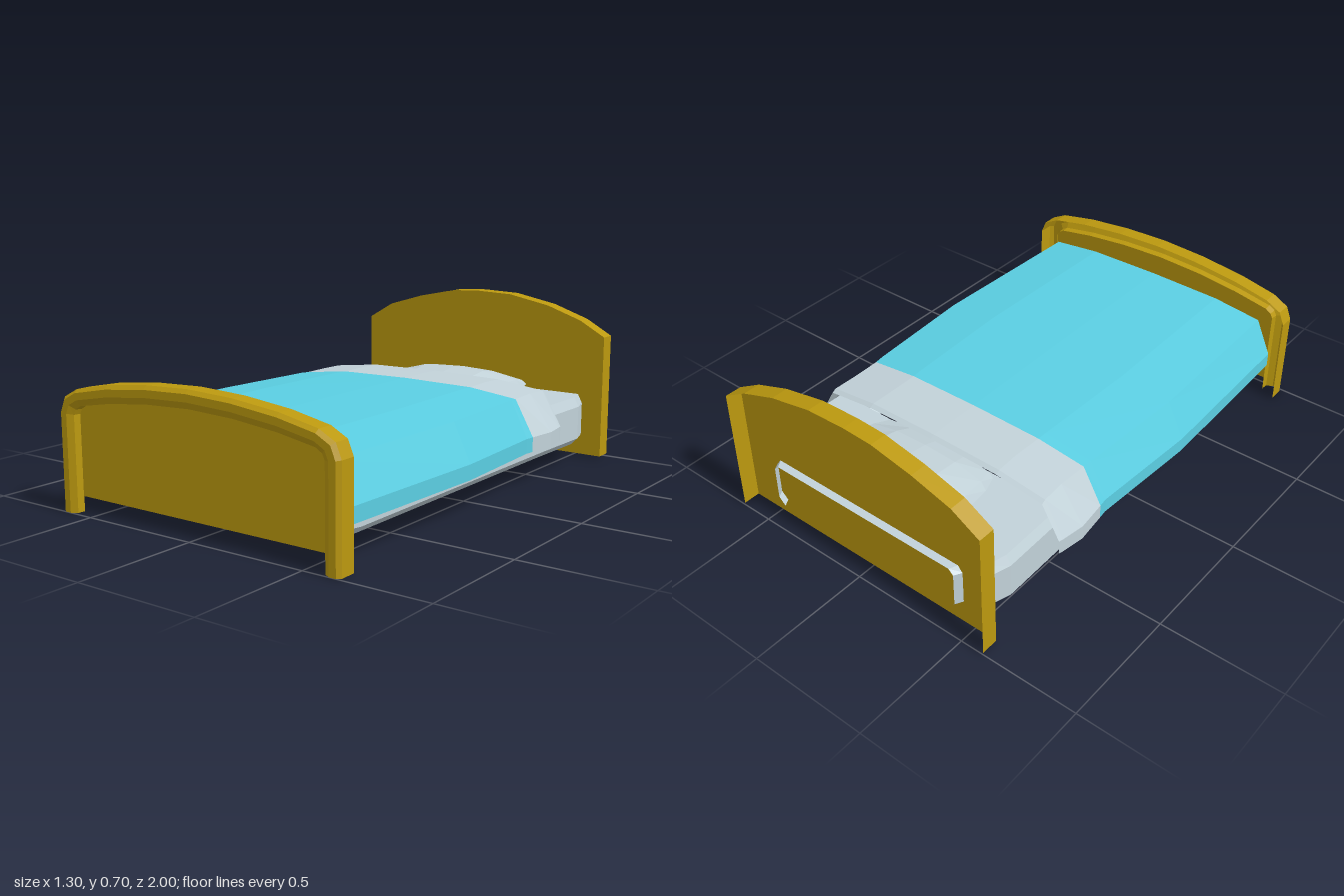
import * as THREE from 'three';

const make = (name, color) => {
  const m = new THREE.MeshStandardMaterial({ color, flatShading: true, side: THREE.DoubleSide });
  m.name = name;
  return m;
};

// Skin between rows of [x, y, z] points
function loft(rows) {
  const n = rows[0].length, index = [];
  for (let i = 0; i < rows.length - 1; i++) {
    for (let j = 0; j < n - 1; j++) {
      const a = i * n + j, b = a + 1, d = a + n, c = d + 1;
      index.push(a, b, c, a, c, d);
    }
  }
  const g = new THREE.BufferGeometry();
  g.setAttribute('position', new THREE.Float32BufferAttribute(rows.flat(2), 3));
  g.setIndex(index);
  g.computeVertexNormals();
  return g;
}

// Mirror a half section [x, y] (outer edge to centre) into a full row at z
function mirrorRow(half, z) {
  const left = half.map(([x, y]) => [-x, y, z]);
  const right = half.filter(([x]) => x > 0).reverse().map(([x, y]) => [x, y, z]);
  return [...left, ...right];
}

function panel(points, z) {
  const shape = new THREE.Shape(points.map(([x, y]) => new THREE.Vector2(x, y)));
  return new THREE.ShapeGeometry(shape).translate(0, 0, z);
}

export function createModel() {
  const wood = make('golden wood', 0xbc990f);
  const teal = make('turquoise cloth', 0x5bcfe3);
  const linen = make('pale linen', 0xc2d2d9);
  const bed = new THREE.Group();
  bed.name = 'bed';
  const add = (name, geometry, material, parent = bed) => {
    const mesh = new THREE.Mesh(geometry, material);
    mesh.name = name;
    parent.add(mesh);
    return mesh;
  };

  // Headboard: arched panel with a rim, open at the back
  const headboard = new THREE.Group();
  headboard.name = 'headboard';
  bed.add(headboard);
  const arch = [[-0.6, 0.01], [-0.6, 0.54], [-0.48, 0.61], [-0.31, 0.66], [-0.13, 0.697], [0, 0.703],
    [0.17, 0.697], [0.36, 0.66], [0.52, 0.605], [0.635, 0.54], [0.635, 0.01]];
  add('headboardPanel', panel(arch, -0.93), wood, headboard);
  add('headboardRim', loft([-0.93, -1].map(z => arch.map(([x, y]) => [x, y, z]))), wood, headboard);

  // Footboard: arched channel frame, open at the back, around a recessed panel
  const footboard = new THREE.Group();
  footboard.name = 'footboard';
  bed.add(footboard);
  const outer = [[0.65, 0], [0.65, 0.385], [0.627, 0.44], [0.56, 0.475], [0.4, 0.507], [0.2, 0.529], [0, 0.537]];
  const inner = [[0.58, 0], [0.58, 0.375], [0.57, 0.395], [0.545, 0.41], [0.39, 0.437], [0.2, 0.457], [0, 0.465]];
  const profile = [[1, 0.955], [0.96, 0.985], [0.6, 1], [0.2, 1], [0, 0.985], [0, 0.922]];
  const frameRows = profile.map(([t, z]) => mirrorRow(
    outer.map(([x, y], i) => [x + (inner[i][0] - x) * t, y + (inner[i][1] - y) * t]), z));
  add('footboardFrame', loft(frameRows), wood, footboard);
  const panelEdge = mirrorRow(inner.map(([x, y]) => [x, Math.max(y, 0.06)]), 0);
  add('footboardPanel', panel(panelEdge, 0.957), wood, footboard);

  const bedding = new THREE.Group();
  bedding.name = 'bedding';
  bedding.position.x = 0.0125;
  bed.add(bedding);

  // Mattress: hollow, with side walls all along and a top only at the head end
  const wallHalf = x => [[x - 0.03, 0.08], [x, 0.11], [x, 0.25]];
  const sides = [[0.54, 0.9], [0.57, 0.79], [0.57, -0.5]];
  add('mattressLeftSide', loft(sides.map(([x, z]) =>
    wallHalf(x).reverse().map(([px, y]) => [px, y, z]))), linen, bedding);
  add('mattressRightSide', loft(sides.map(([x, z]) =>
    wallHalf(x).map(([px, y]) => [-px, y, z]))), linen, bedding);
  const head = [[0.57, -0.5, 0.29], [0.575, -0.8, 0.29], [0.55, -0.885, 0.288], [0.47, -0.925, 0.275], [0.45, -0.96, 0.27]];
  add('mattressHead', loft(head.map(([x, z, top]) =>
    mirrorRow([...wallHalf(x), [x - 0.02, top]], z))), linen, bedding);

  // Blanket and its folded end: draped cross-sections [z, half width, top edge half width, top]
  const drape = stations => loft(stations.map(([z, w, e, top]) => mirrorRow(
    [[w, 0.15], [w, 0.21], [e, top - 0.03], [e * 0.6, top - 0.005], [0, top]], z)));
  add('blanket', drape([[0.93, 0.61, 0.541, 0.388], [0.2, 0.635, 0.562, 0.39],
    [-0.28, 0.607, 0.534, 0.388], [-0.32, 0.612, 0.53, 0.386]]), teal, bedding);
  add('blanketFold', drape([[-0.32, 0.612, 0.53, 0.386], [-0.45, 0.627, 0.525, 0.388],
    [-0.55, 0.612, 0.53, 0.385], [-0.568, 0.608, 0.53, 0.375]]), linen, bedding);

  // Pillow: soft dome, its front tucked under the fold [z, half width, top]
  const pillow = [[-0.53, 0.27, 0.345], [-0.6, 0.295, 0.368], [-0.7, 0.306, 0.383], [-0.79, 0.298, 0.372],
    [-0.88, 0.275, 0.342], [-0.905, 0.262, 0.305]];
  add('pillow', loft(pillow.map(([z, w, top]) => mirrorRow(
    [[w - 0.02, 0.295], [w, 0.302], [w - 0.022, 0.302 + (top - 0.302) * 0.5], [w * 0.5, top - 0.006], [0, top]], z))),
  linen, bedding);

  return bed;
}
